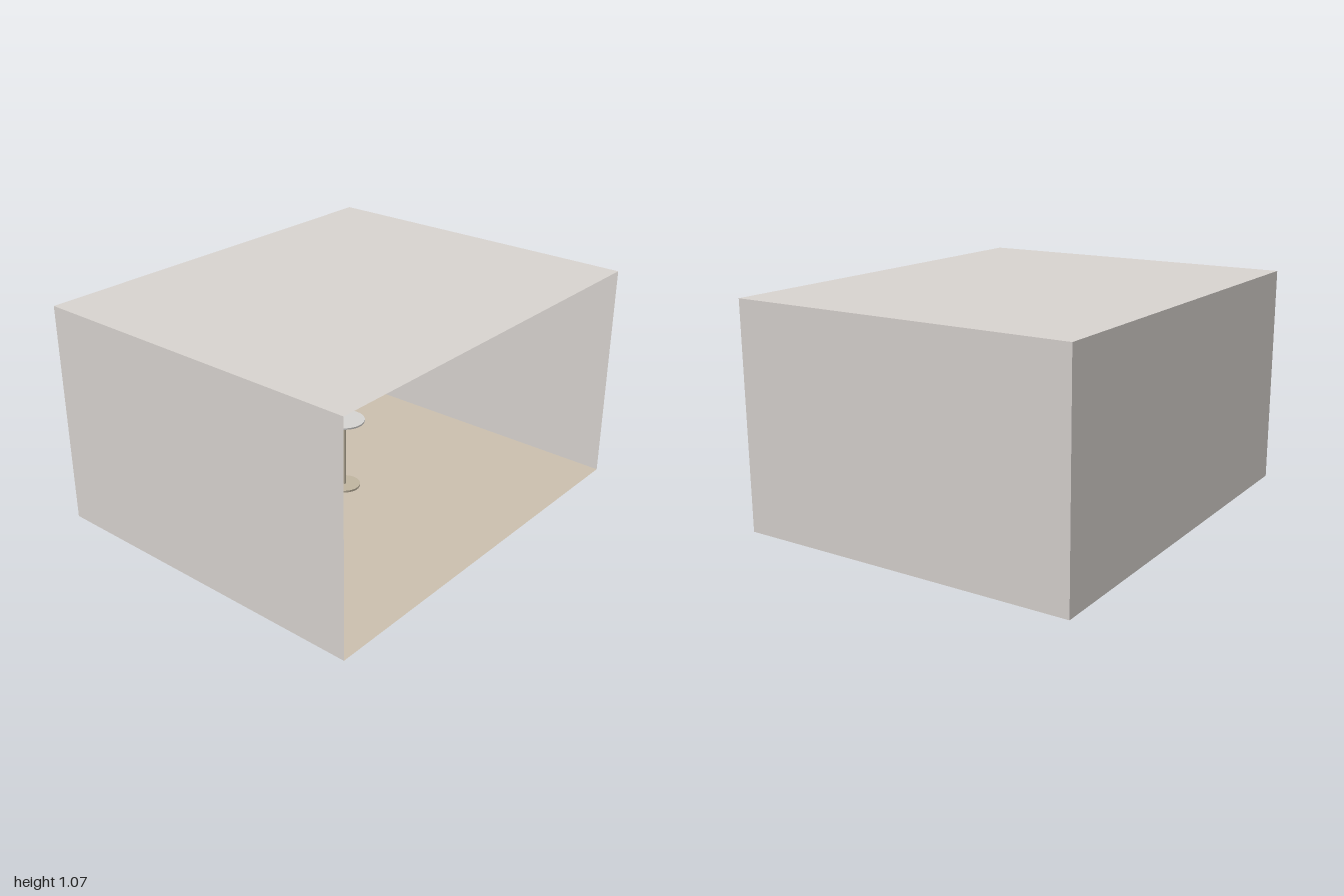
import * as THREE from 'three';

const W = 2, H = 1.07, D = 1.66;

const paint = (name, color, side = THREE.FrontSide) => {
  const m = new THREE.MeshStandardMaterial({ color, side });
  m.name = name;
  return m;
};

export function createModel() {
  const wall = paint('warm grey plaster', 0xd8d3cf, THREE.DoubleSide);
  const wood = paint('pale wood floor', 0xcbbfae, THREE.DoubleSide);
  const top = paint('light grey tabletop', 0xd4d3d1);
  const metal = paint('beige metal', 0xbfb49f);

  const room = new THREE.Group();
  room.name = 'room';

  // Thin room panels; the front stays open
  const panel = (name, w, h, mat, pos, rx = 0, ry = 0) => {
    const m = new THREE.Mesh(new THREE.PlaneGeometry(w, h), mat);
    m.name = name;
    m.position.set(...pos);
    m.rotation.set(rx, ry, 0);
    room.add(m);
  };
  panel('floor', W, D, wood, [0, 0, 0], -Math.PI / 2);
  panel('ceiling', W, D, wall, [0, H, 0], -Math.PI / 2);
  panel('backWall', W, H, wall, [0, H / 2, -D / 2]);
  for (const [name, s] of [['leftWall', 1], ['rightWall', -1]])
    panel(name, D, H, wall, [s * W / 2, H / 2, 0], 0, s * Math.PI / 2);

  // Round pedestal table
  const table = new THREE.Group();
  table.name = 'table';
  table.position.set(0.043, 0, -0.055);
  const disc = (name, r, y0, y1, mat) => {
    const m = new THREE.Mesh(new THREE.CylinderGeometry(r, r, y1 - y0, 48), mat);
    m.name = name;
    m.position.y = (y0 + y1) / 2;
    table.add(m);
  };
  disc('tableBase', 0.078, 0.001, 0.011, metal);
  disc('tablePost', 0.009, 0.011, 0.361, metal);
  disc('tableTop', 0.1, 0.361, 0.369, top);
  room.add(table);

  const model = new THREE.Group();
  model.name = 'roomWithTable';
  model.add(room);
  return model;
}
